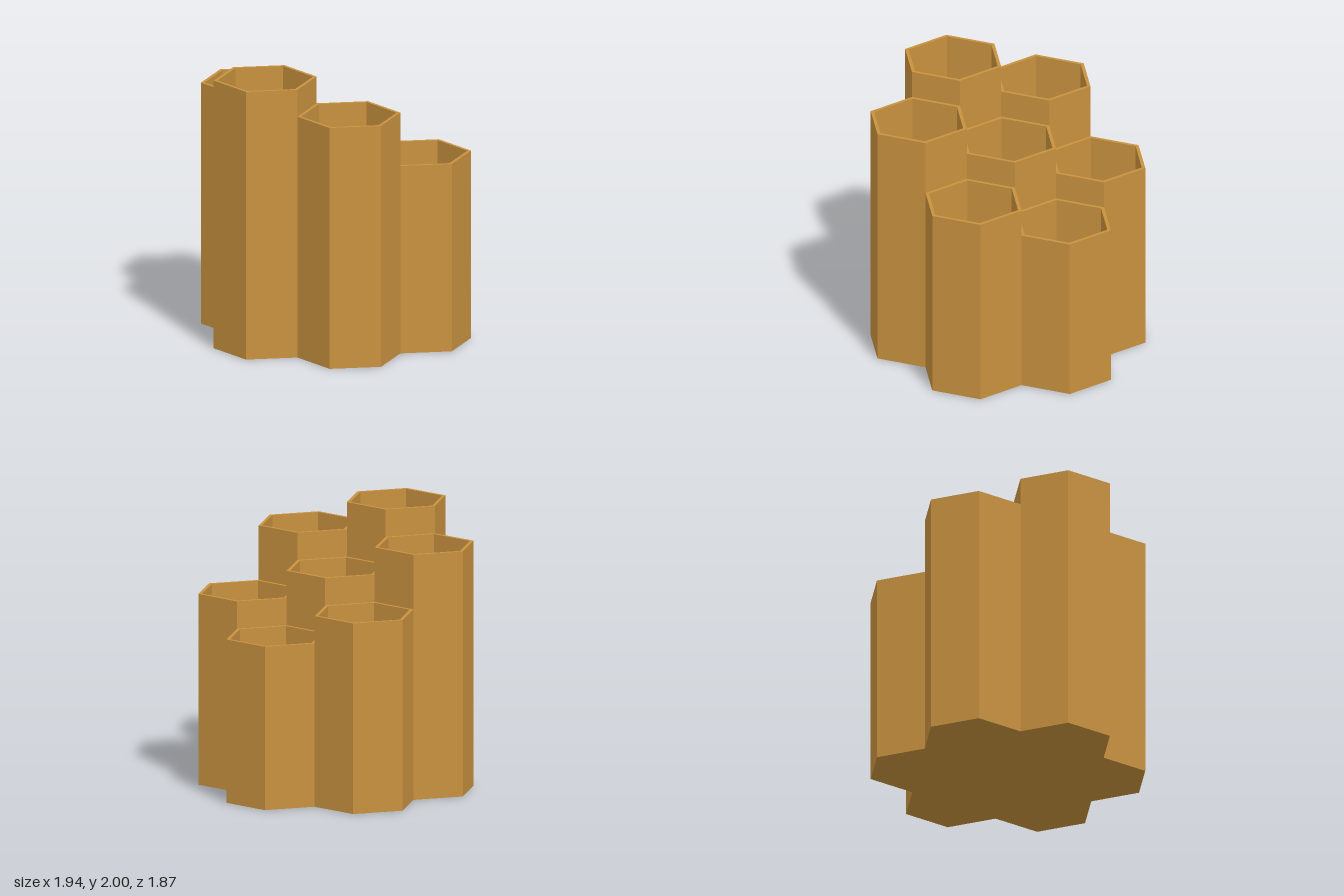
import * as THREE from 'three';

const WIDTH = 0.6466;                  // across the flats of one cell
const R = WIDTH / Math.sqrt(3);        // outer corner radius
const WALL = 0.024;
const r = R - WALL * 2 / Math.sqrt(3); // inner corner radius
const FLOOR = 0.03;

// Open hexagonal tube with a floor, corners pointing along z
function cellGeometry(height) {
  const profile = [
    [0, 0], [R, 0], [R, height], [r, height], [r, FLOOR], [0, FLOOR],
  ].map(([x, y]) => new THREE.Vector2(x, y));
  const geometry = new THREE.LatheGeometry(profile, 6).toNonIndexed();
  geometry.computeVertexNormals(); // flat facets
  return geometry;
}

export function createModel() {
  const group = new THREE.Group();
  group.name = 'honeycombHolder';

  const ochre = new THREE.MeshStandardMaterial({ color: 0xc8913e });
  ochre.name = 'ochre';

  // name, column (in cell widths), row (+ is front), height
  const cells = [
    ['frontRightCell', -0.5, 1, 2.0],
    ['frontLeftCell', 0.5, 1, 1.8],
    ['rightCell', -1, 0, 1.8],
    ['centreCell', 0, 0, 1.6],
    ['leftCell', 1, 0, 1.4],
    ['backRightCell', -0.5, -1, 1.4],
    ['backLeftCell', 0.5, -1, 1.2],
  ];
  for (const [name, column, row, height] of cells) {
    const cell = new THREE.Mesh(cellGeometry(height), ochre);
    cell.name = name;
    cell.position.set(column * WIDTH, 0, row * R * 1.5);
    group.add(cell);
  }
  return group;
}
